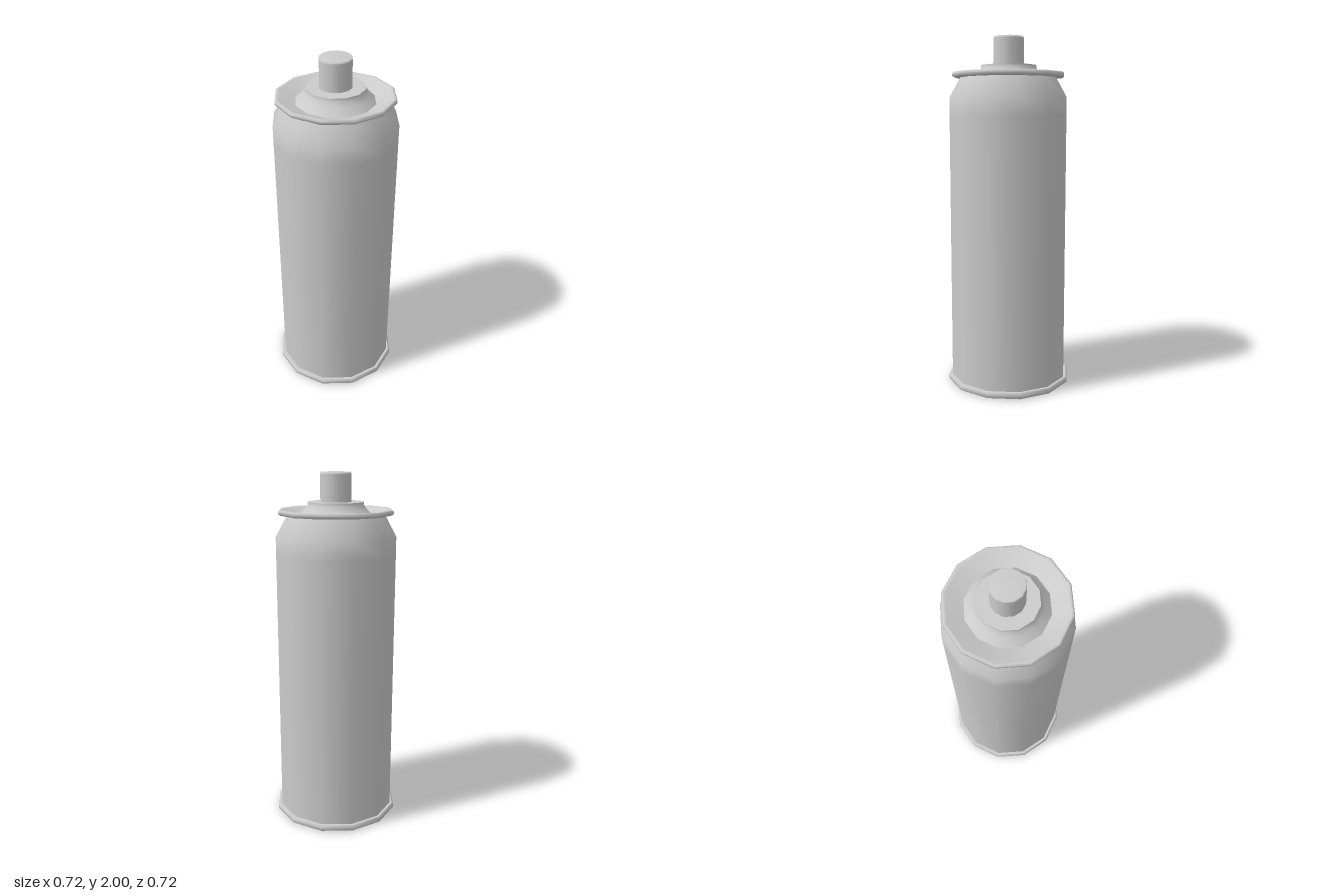
import * as THREE from 'three';

const SIDES = 12;

// Revolve a [radius, height] profile, bottom to top; a repeated point makes a hard edge.
function turned(name, profile, material) {
  const points = profile.map(([r, y]) => new THREE.Vector2(r, y));
  const mesh = new THREE.Mesh(new THREE.LatheGeometry(points, SIDES), material);
  mesh.name = name;
  return mesh;
}

export function createModel() {
  const group = new THREE.Group();
  group.name = 'sprayCan';
  const metal = new THREE.MeshStandardMaterial({ color: 0xcccccc, side: THREE.DoubleSide });

  // Base: flat bottom with a thin seam rim
  group.add(turned('baseRim', [
    [0, 0], [0.352, 0], [0.352, 0],
    [0.362, 0.008], [0.362, 0.027], [0.354, 0.036],
    [0.354, 0.036], [0.335, 0.036],
  ], metal));

  // Body: straight wall and tapered shoulder
  group.add(turned('body', [
    [0.34, 0.03], [0.34, 0.05], [0.34, 1.56], [0.34, 1.66], [0.275, 1.775],
  ], metal));

  // Rolled top rim around a dished lid
  group.add(turned('topRim', [
    [0.27, 1.772], [0.312, 1.772], [0.323, 1.78], [0.323, 1.794],
    [0.314, 1.802], [0.302, 1.797], [0.215, 1.764],
  ], metal));

  // Raised valve cup in the middle of the lid
  group.add(turned('valveCup', [
    [0.215, 1.764], [0.178, 1.8], [0.159, 1.826], [0.159, 1.841],
    [0.159, 1.841], [0.08, 1.841],
  ], metal));

  // Push-down nozzle
  group.add(turned('nozzle', [
    [0.088, 1.835], [0.088, 1.99], [0.088, 1.99], [0.084, 2], [0, 2],
  ], metal));

  return group;
}
